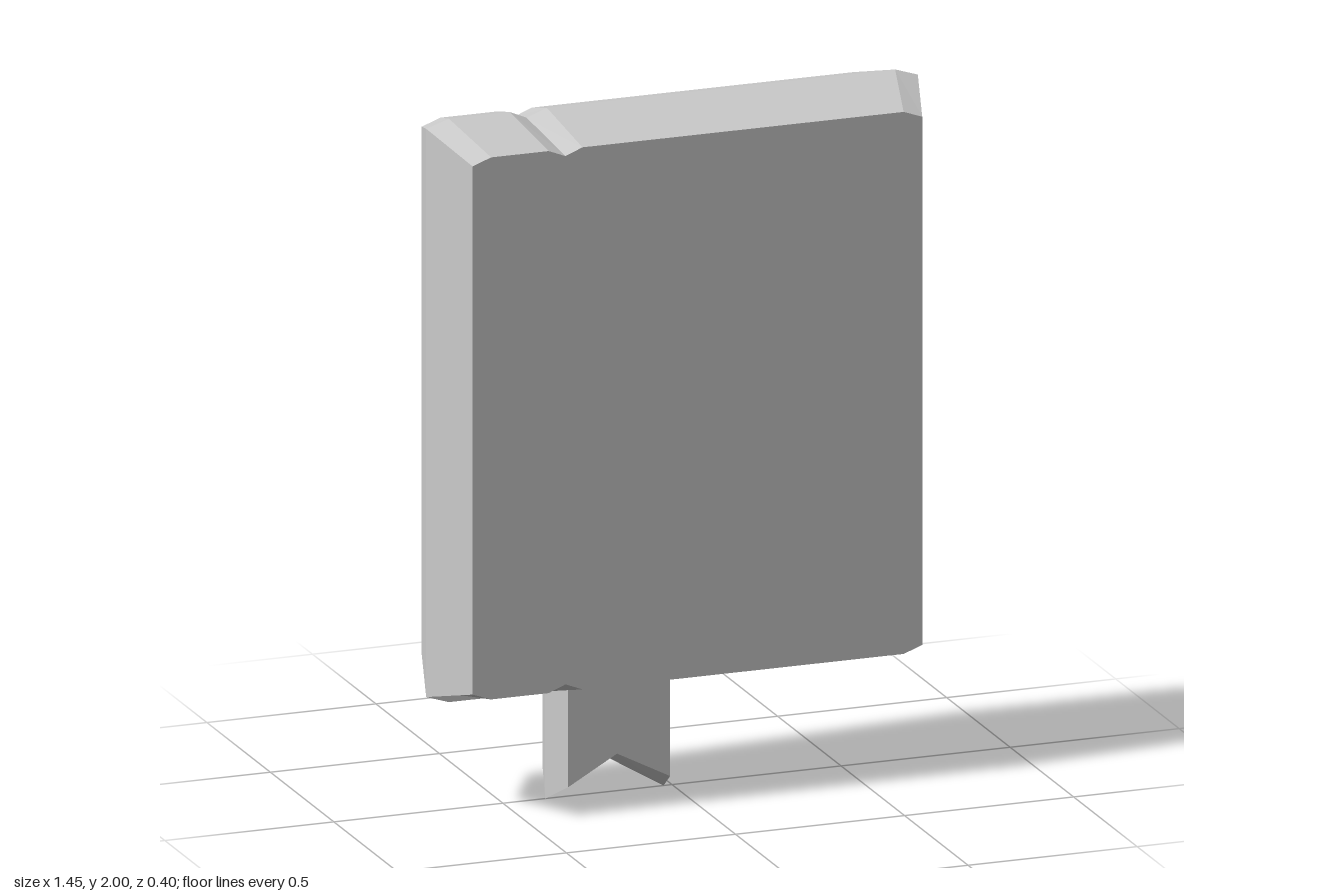
import * as THREE from 'three';

const material = new THREE.MeshStandardMaterial({ color: 0xcccccc, flatShading: true });

// Joins equal-length counter-clockwise outlines from front to back and caps both ends.
function loft(name, sections) {
  const pos = [];
  const put = (s, i) => pos.push(s.ring[i][0], s.ring[i][1], s.z);
  const n = sections[0].ring.length;
  for (let k = 0; k < sections.length - 1; k++) {
    const f = sections[k], b = sections[k + 1];
    for (let i = 0; i < n; i++) {
      const j = (i + 1) % n;
      put(f, i); put(b, i); put(b, j);
      put(f, i); put(b, j); put(f, j);
    }
  }
  const cap = (s, flip) => {
    const points = s.ring.map(([x, y]) => new THREE.Vector2(x, y));
    for (const [a, b, c] of THREE.ShapeUtils.triangulateShape(points, [])) {
      for (const i of flip ? [a, c, b] : [a, b, c]) put(s, i);
    }
  };
  cap(sections[0], false);
  cap(sections[sections.length - 1], true);
  const geometry = new THREE.BufferGeometry();
  geometry.setAttribute('position', new THREE.Float32BufferAttribute(pos, 3));
  geometry.computeVertexNormals();
  const mesh = new THREE.Mesh(geometry, material);
  mesh.name = name;
  return mesh;
}

// Book outline: clipped corners and a spine groove, mirrored between bottom and top.
function bookOutline(halfW, cornerX, groove, halfH, dip) {
  const edge = [
    [-halfW, -halfH + dip], [-cornerX, -halfH],
    [groove[0], -halfH], [groove[1], -halfH + dip], [groove[2], -halfH],
    [cornerX, -halfH], [halfW, -halfH + dip],
  ];
  const top = edge.map(([x, y]) => [x, -y]).reverse();
  return [...edge, ...top].map(([x, y]) => [x, y + 1.155]);
}

// Ribbon outline with a swallow-tail end; its top is buried in the book.
function ribbonOutline(left, right, tip, notch) {
  return [[left, tip], [-0.2, notch], [right, tip], [right, 0.42], [left, 0.42]];
}

export function createModel() {
  const group = new THREE.Group();
  group.name = 'book';

  // Book body, widest at mid thickness
  const face = bookOutline(0.665, 0.61, [-0.44, -0.39, -0.34], 0.785, 0.02);
  const middle = bookOutline(0.727, 0.66, [-0.48, -0.43, -0.37], 0.845, 0.022);
  // Small step under the spine on the front half
  const stepped = middle.map(([x, y], i) => (i === 1 || i === 2 ? [x, 0.335] : [x, y]));
  group.add(loft('bookBody', [
    { ring: face, z: 0.2 },
    { ring: stepped, z: 0 },
    { ring: middle, z: 0 },
    { ring: face, z: -0.2 },
  ]));

  // Bookmark ribbon hanging below
  const ribbonFace = ribbonOutline(-0.345, -0.043, 0.058, 0.14);
  const ribbonMiddle = ribbonOutline(-0.375, -0.025, 0, 0.105);
  group.add(loft('bookmarkRibbon', [
    { ring: ribbonFace, z: 0.1 },
    { ring: ribbonMiddle, z: 0 },
    { ring: ribbonFace, z: -0.1 },
  ]));

  return group;
}
